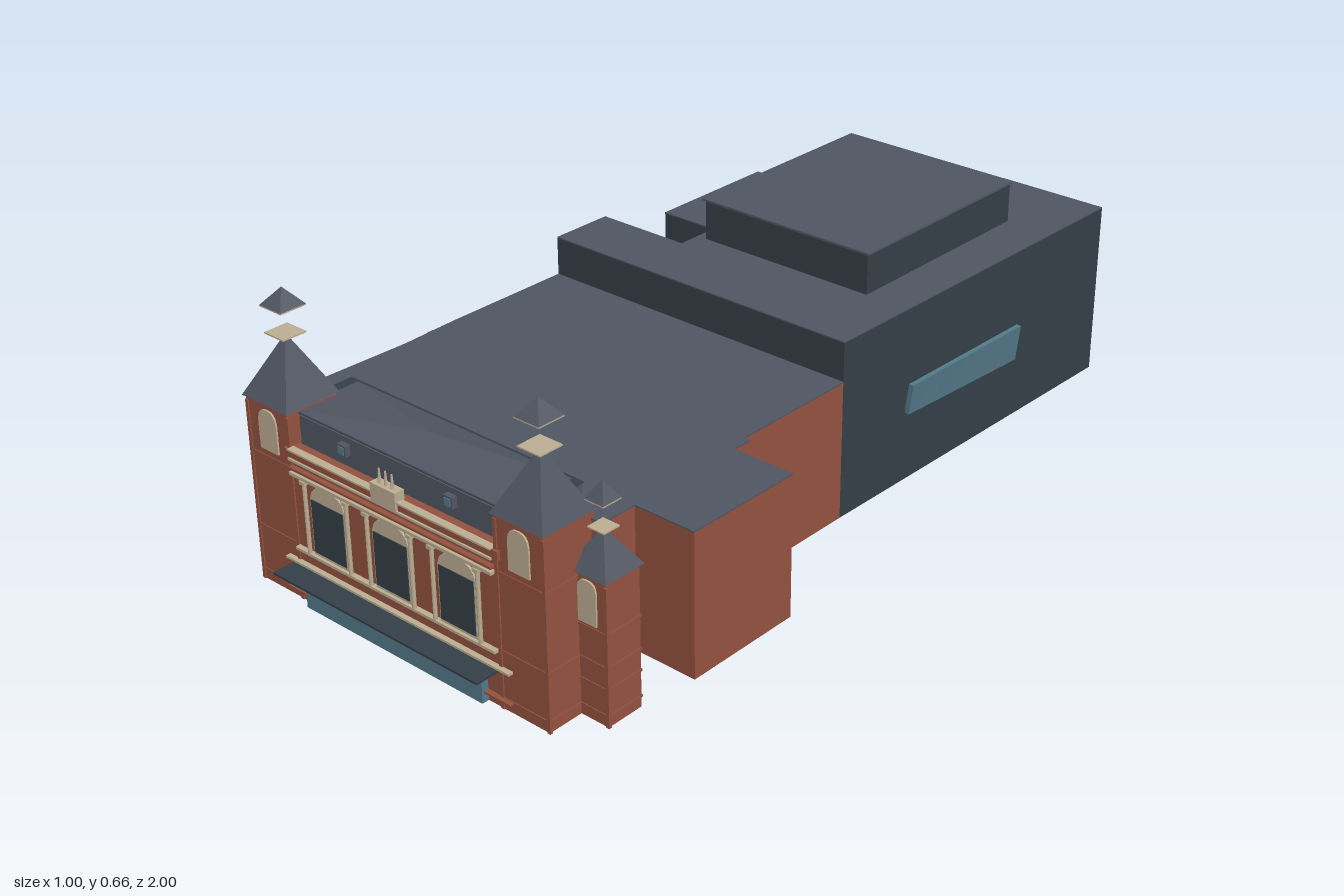
import * as THREE from 'three';

const mat = (color) => new THREE.MeshStandardMaterial({ color, flatShading: true, side: THREE.DoubleSide });

export function createModel() {
  const root = new THREE.Group();
  const brick = mat(0x94523f), slate = mat(0x505662), dark = mat(0x343f47);
  const glass = mat(0x54798a), cream = mat(0xbcae92);

  const add = (name, geo, m, parent = root) => {
    const mesh = new THREE.Mesh(geo, m);
    mesh.name = name;
    parent.add(mesh);
    return mesh;
  };
  // box given by its limits
  const box = (name, x0, x1, y0, y1, z0, z1, m, parent) =>
    add(name, new THREE.BoxGeometry(x1 - x0, y1 - y0, z1 - z0)
      .translate((x0 + x1) / 2, (y0 + y1) / 2, (z0 + z1) / 2), m, parent);
  // upright prism over a plan of [x, z] corners
  const prism = (name, plan, y0, y1, m) => {
    const shape = new THREE.Shape(plan.map(([x, z]) => new THREE.Vector2(x, -z)));
    const geo = new THREE.ExtrudeGeometry(shape, { depth: y1 - y0, bevelEnabled: false });
    return add(name, geo.rotateX(-Math.PI / 2).translate(0, y0, 0), m);
  };
  // four-sided roof
  const pyramid = (name, half, y0, y1, m, parent) =>
    add(name, new THREE.ConeGeometry(half * Math.SQRT2, y1 - y0, 4)
      .rotateY(Math.PI / 4).translate(0, (y0 + y1) / 2, 0), m, parent);
  // thin panel with an arched head, facing +z
  const arch = (name, x, half, y0, spring, top, z, depth, m, parent) => {
    const s = new THREE.Shape();
    s.moveTo(-half, y0);
    s.lineTo(half, y0);
    s.lineTo(half, spring);
    s.bezierCurveTo(half * 0.9, top, half * 0.35, top, 0, top);
    s.bezierCurveTo(-half * 0.35, top, -half * 0.9, top, -half, spring);
    const geo = new THREE.ExtrudeGeometry(s, { depth, bevelEnabled: false, curveSegments: 5 });
    return add(name, geo.translate(x, 0, z), m, parent);
  };

  // brick auditorium with a flat slate roof
  const hallPlan = [[-0.5, -0.03], [0.335, -0.03], [0.335, 0.29], [0.35, 0.29], [0.35, 0.34], [0.5, 0.34],
    [0.5, 0.63], [0.35, 0.63], [0.35, 0.72], [-0.505, 0.72], [-0.495, 0.45], [-0.5, 0.3]];
  prism('hallWalls', hallPlan, 0, 0.327, brick);
  prism('hallRoof', hallPlan, 0.327, 0.33, slate);
  for (const z of [0.32, 0.36, 0.56, 0.6]) box('hallPilaster', -0.504, -0.49, 0, 0.327, z, z + 0.015, brick);

  // stage house at the back
  const stagePlan = [[-0.5, -0.03], [0.335, -0.03], [0.35, -1], [0.07, -1], [0.07, -0.825], [-0.26, -0.81],
    [-0.26, -0.64], [-0.41, -0.64], [-0.41, -0.3], [-0.26, -0.3], [-0.26, -0.19], [-0.5, -0.19]];
  prism('stageWalls', stagePlan, 0, 0.42, dark);
  prism('stageRoof', stagePlan, 0.42, 0.423, slate);
  box('flyTower', -0.235, 0.228, 0.42, 0.518, -0.785, -0.245, dark);
  box('flyTowerRoof', -0.24, 0.233, 0.518, 0.523, -0.79, -0.24, slate);

  // slanted glass strips on both sides of the stage house
  for (const [side, x0, x1] of [[1, 0.346, 0.362], [-1, 0.416, 0.402]]) {
    const geo = new THREE.BoxGeometry(0.012, 0.085, 0.39, 1, 1, 4);
    const p = geo.attributes.position;
    for (let i = 0; i < p.count; i++) {
      const t = 0.5 - p.getZ(i) / 0.39;
      const lean = p.getY(i) > 0 ? 0.006 : -0.004;
      p.setX(i, side * (x0 + (x1 - x0) * t + p.getX(i) + lean));
      p.setY(i, p.getY(i) * (0.88 + 0.17 * t) + 0.205);
      p.setZ(i, p.getZ(i) - 0.447);
    }
    add('sideGlass', geo, glass);
  }

  // front block with parapets and a low hipped roof
  box('frontBlock', -0.328, 0.322, 0, 0.34, 0.715, 0.935, brick);
  box('rearParapet', -0.328, 0.322, 0.33, 0.357, 0.712, 0.735, brick);
  box('frontParapet', -0.3, 0.3, 0.33, 0.35, 0.91, 0.943, brick);
  box('roofBase', -0.325, 0.32, 0.335, 0.415, 0.74, 0.905, slate);
  const hip = new THREE.ConeGeometry(Math.SQRT1_2, 1, 4).rotateY(Math.PI / 4);
  add('hippedRoof', hip.scale(0.65, 0.026, 0.175).translate(-0.002, 0.428, 0.824), slate);
  box('roofEdge', -0.327, 0.322, 0.413, 0.417, 0.737, 0.909, dark);

  // facade string courses
  const bands = [[0.295, 0.302, 0.285, cream], [0.328, 0.333, 0.285, cream], [0.349, 0.353, 0.285, cream],
    [0.308, 0.313, 0.285, brick], [0.124, 0.13, 0.285, cream], [0.09, 0.095, 0.32, cream], [0.022, 0.026, 0.32, brick]];
  for (const [y0, y1, half, m] of bands) box('stringCourse', -half, half, y0, y1, 0.93, 0.947, m);

  // three arched windows, each between two columns
  for (const x of [-0.183, 0, 0.183]) {
    arch('windowSurround', x, 0.051, 0.13, 0.258, 0.291, 0.935, 0.005, cream);
    box('windowPane', x - 0.047, x + 0.047, 0.137, 0.257, 0.935, 0.942, dark);
    for (const s of [-1, 1]) {
      add('column', new THREE.CylinderGeometry(0.0045, 0.0045, 0.165, 8)
        .translate(x + s * 0.062, 0.2125, 0.943), cream);
      box('columnCapital', x + s * 0.062 - 0.007, x + s * 0.062 + 0.007, 0.287, 0.295, 0.935, 0.95, cream);
    }
  }

  // entrance glazing under a thin canopy
  box('entranceGlass', -0.258, 0.25, 0, 0.084, 0.935, 0.952, glass);
  box('canopy', -0.296, 0.29, 0.085, 0.09, 0.94, 1.0, dark);

  // central plaque, finials and small roof dormers
  box('plaque', -0.037, 0.033, 0.334, 0.373, 0.925, 0.949, cream);
  for (const x of [-0.02, -0.002, 0.016]) {
    add('finial', new THREE.CylinderGeometry(0.002, 0.004, 0.032, 6).translate(x, 0.388, 0.938), cream);
  }
  for (const x of [-0.153, 0.146]) {
    box('dormer', x - 0.012, x + 0.012, 0.373, 0.397, 0.9, 0.918, slate);
    box('dormerWindow', x - 0.008, x + 0.008, 0.377, 0.393, 0.91, 0.92, glass);
  }

  // square tower with pyramid roof, raised plate and cap
  const tower = (name, o) => {
    for (const side of [-1, 1]) {
      const g = new THREE.Group();
      g.name = name;
      g.position.set(side * o.x, 0, o.z);
      root.add(g);
      const h = o.half;
      box('towerWalls', -h, h, 0, o.eave, -h, h, brick, g);
      for (const y of o.bands) box('towerBand', -h - 0.002, h + 0.002, y, y + 0.005, -h - 0.002, h + 0.002, brick, g);
      pyramid('towerRoof', o.roofHalf, o.eave, o.peak, slate, g);
      box('raisedPlate', -o.plate, o.plate, o.peak, o.peak + 0.003, -o.plate, o.plate, cream, g);
      box('capBase', -o.cap, o.cap, o.capY - 0.003, o.capY, -o.cap, o.cap, cream, g);
      pyramid('cap', o.cap, o.capY, o.capY + o.capH, slate, g);
      arch('towerWindow', 0, o.win[0], o.win[1], o.win[2], o.win[3], h, 0.004, cream, g);
      // slim corner shafts
      for (const sx of [-1, 1]) box('cornerShaft', sx * h - 0.004, sx * h + 0.004, 0, o.eave - 0.01, h - 0.004, h + 0.003, brick, g);
    }
  };
  tower('mainTower', { x: 0.351, z: 0.874, half: 0.061, roofHalf: 0.068, eave: 0.425, peak: 0.558, plate: 0.029,
    cap: 0.032, capY: 0.62, capH: 0.038, win: [0.027, 0.32, 0.385, 0.411], bands: [0.022, 0.128, 0.3, 0.416] });
  tower('cornerTower', { x: 0.437, z: 0.806, half: 0.045, roofHalf: 0.052, eave: 0.315, peak: 0.395, plate: 0.021,
    cap: 0.024, capY: 0.456, capH: 0.037, win: [0.023, 0.212, 0.285, 0.304], bands: [0.022, 0.08, 0.128, 0.2] });

  // walls linking the corner towers to the hall
  for (const s of [-1, 1]) {
    const a = s * 0.32, b = s * 0.44;
    box('linkWall', Math.min(a, b), Math.max(a, b), 0, 0.29, s < 0 ? 0.715 : 0.77, 0.84, brick);
  }
  return root;
}
